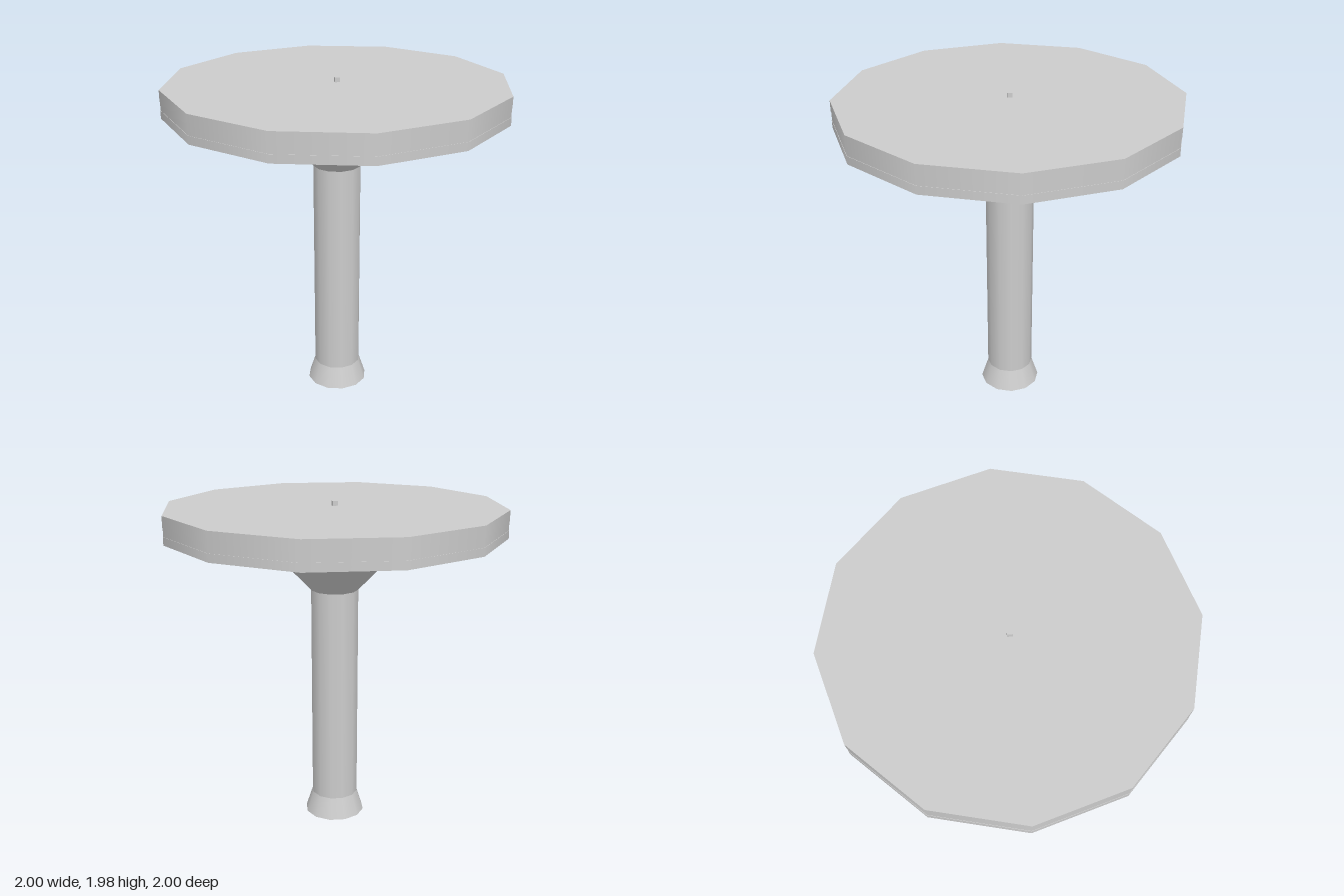
import * as THREE from 'three';

const SIDES = 12;

export function createModel() {
  const model = new THREE.Group();
  model.name = 'pedestalTable';
  const grey = new THREE.MeshStandardMaterial({ color: 0xcccccc });
  grey.name = 'plain grey';

  function add(name, geometry, y) {
    const mesh = new THREE.Mesh(geometry, grey);
    mesh.name = name;
    mesh.position.y = y;
    model.add(mesh);
  }

  // Twelve-sided ring from y0 to y1, smooth around and sharp at its ends
  function ring(name, r0, y0, r1, y1) {
    add(name, new THREE.CylinderGeometry(r1, r0, y1 - y0, SIDES, 1, true), (y0 + y1) / 2);
  }

  // Flat twelve-sided cap
  function cap(name, r, y, up) {
    const disc = new THREE.CircleGeometry(r, SIDES);
    disc.rotateX(up ? -Math.PI / 2 : Math.PI / 2);
    add(name, disc, y);
  }

  // Foot, pole and flared support
  cap('footBottom', 0.185, 0, false);
  ring('foot', 0.185, 0, 0.143, 0.13);
  ring('pole', 0.143, 0.13, 0.143, 1.46);
  ring('support', 0.143, 1.46, 0.415, 1.747);

  // Table top: sloping underside, rim with a shallow middle band, flat top
  ring('underside', 0.415, 1.747, 1, 1.793);
  ring('lowerRim', 1, 1.793, 1, 1.84);
  ring('rimBandLowerEdge', 1, 1.84, 0.998, 1.8401);
  ring('rimBand', 0.998, 1.8401, 0.998, 1.8899);
  ring('rimBandUpperEdge', 0.998, 1.8899, 1, 1.89);
  ring('upperRim', 1, 1.89, 1, 1.955);
  cap('tableTop', 1, 1.955, true);

  // Small block at the centre of the top
  add('centreBlock', new THREE.BoxGeometry(0.03, 0.03, 0.03), 1.967);

  return model;
}
